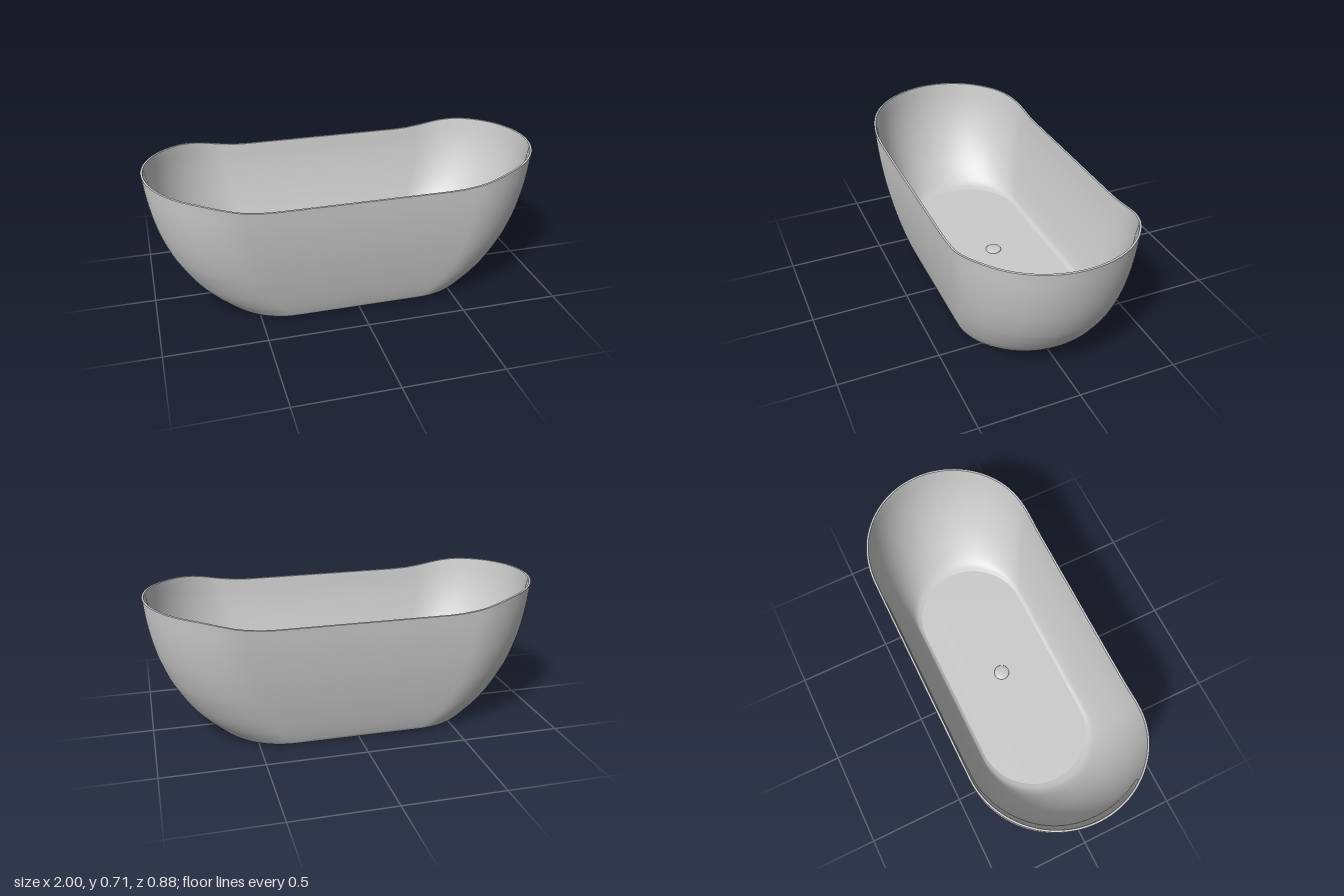
import * as THREE from 'three';

const RIM = 0.71;    // rim height at the two ends
const FLOOR = 0.16;  // height of the basin floor
const CEILING = 0.14; // height of the recess under the floor

// Unit stadium outline, counter-clockwise from above: u slides along the straight, c and s turn the ends
const outline = [];
for (const side of [1, -1]) {
  for (let i = 0; i < 48; i++) {
    const t = -Math.PI / 2 + (Math.PI * i) / 48;
    outline.push({ u: side, c: side * Math.cos(t), s: side * Math.sin(t) });
  }
  for (let i = 0; i < 16; i++) outline.push({ u: side * (1 - i / 8), c: 0, s: side });
}

// Rim height: level along the sides, sweeping up at both ends
function rimHeight(x) {
  const d = Math.abs(x);
  return 0.643 + 0.042 * THREE.MathUtils.smoothstep(d, 0.43, 0.81) + 0.0625 * Math.max(0, d - 0.6);
}

// Skin through stadium sections [half length, height, half width]; heights above base stretch to the rim
function skin(name, sections, material, base = null) {
  const pos = [], index = [], n = outline.length;
  for (const [a, y, b] of sections) {
    for (const { u, c, s } of outline) {
      const top = rimHeight(u * 0.56 + c * 0.44);
      const h = base === null ? y : base + ((y - base) * (top - base)) / (RIM - base);
      pos.push(u * (a - b) + c * b, h, -s * b);
    }
  }
  for (let j = 0; j < sections.length - 1; j++) {
    for (let i = 0; i < n; i++) {
      const p = j * n + i, q = j * n + ((i + 1) % n);
      index.push(p, q, p + n, q, q + n, p + n);
    }
  }
  const geo = new THREE.BufferGeometry();
  geo.setAttribute('position', new THREE.Float32BufferAttribute(pos, 3));
  geo.setIndex(index);
  geo.computeVertexNormals();
  const mesh = new THREE.Mesh(geo, material);
  mesh.name = name;
  return mesh;
}

// Smooth profile through a few sections
function smooth(sections, steps) {
  const curve = new THREE.CatmullRomCurve3(sections.map((p) => new THREE.Vector3(...p)));
  return curve.getPoints(steps).map((p) => p.toArray());
}

// Flat stadium-shaped plate, facing up or down
function plate(name, a, b, y, facing, material) {
  const shape = new THREE.Shape();
  shape.absarc(a - b, 0, b, -Math.PI / 2, Math.PI / 2);
  shape.absarc(b - a, 0, b, Math.PI / 2, Math.PI * 1.5);
  const mesh = new THREE.Mesh(new THREE.ShapeGeometry(shape, 48), material);
  mesh.name = name;
  mesh.rotation.x = (-facing * Math.PI) / 2;
  mesh.position.y = y;
  return mesh;
}

// Turned part from [radius, height] pairs
function turned(name, profile, y, material) {
  const points = profile.map((p) => new THREE.Vector2(...p));
  const mesh = new THREE.Mesh(new THREE.LatheGeometry(points, 40), material);
  mesh.name = name;
  mesh.position.y = y;
  return mesh;
}

export function createModel() {
  const tub = new THREE.Group();
  tub.name = 'bathtub';
  const material = new THREE.MeshStandardMaterial({ color: 0xcccccc, side: THREE.DoubleSide });

  // Outer wall with a rounded foot
  const outer = smooth([
    [0.635, 0, 0.315], [0.65, 0.003, 0.33], [0.668, 0.014, 0.34], [0.702, 0.042, 0.35],
    [0.752, 0.086, 0.362], [0.802, 0.14, 0.374], [0.845, 0.2, 0.386], [0.876, 0.25, 0.395],
    [0.903, 0.3, 0.403], [0.943, 0.4, 0.417], [0.97, 0.5, 0.428], [0.988, 0.6, 0.436], [1, RIM, 0.441],
  ], 72);
  tub.add(skin('outerWall', outer, material, 0));

  // Thin rim with softened edges
  tub.add(skin('rim', [
    [1, RIM, 0.441], [0.998, RIM + 0.002, 0.439], [0.992, RIM + 0.002, 0.433], [0.99, RIM, 0.431],
  ], material, 0));

  // Basin wall, tapering evenly to a small fillet at the floor
  const inner = smooth([
    [0.99, RIM, 0.431], [0.969, 0.6, 0.415], [0.938, 0.5, 0.396], [0.892, 0.4, 0.373],
    [0.828, 0.3, 0.347], [0.745, 0.21, 0.319], [0.695, 0.173, 0.303], [0.655, FLOOR, 0.286],
  ], 50);
  tub.add(skin('basinWall', inner, material, FLOOR));
  tub.add(plate('basinFloor', 0.655, 0.286, FLOOR, 1, material));

  // Underside: recess ceiling, recess wall and the foot ring it stands on
  tub.add(plate('recessCeiling', 0.605, 0.285, CEILING, -1, material));
  tub.add(skin('recessWall', [[0.605, CEILING, 0.285], [0.62, 0.005, 0.3]], material));
  tub.add(skin('footRing', [[0.62, 0.005, 0.3], [0.624, 0, 0.304], [0.635, 0, 0.315]], material));

  // Drain: domed plug above the floor, short pipe stub below
  tub.add(turned('drainPlug', [[0.04, 0], [0.04, 0.005], [0.036, 0.009], [0.02, 0.012], [0, 0.013]], FLOOR, material));
  tub.add(turned('drainPipe', [[0.024, 0.008], [0.024, 0], [0.036, 0], [0.036, 0.008]], CEILING - 0.006, material));
  return tub;
}
